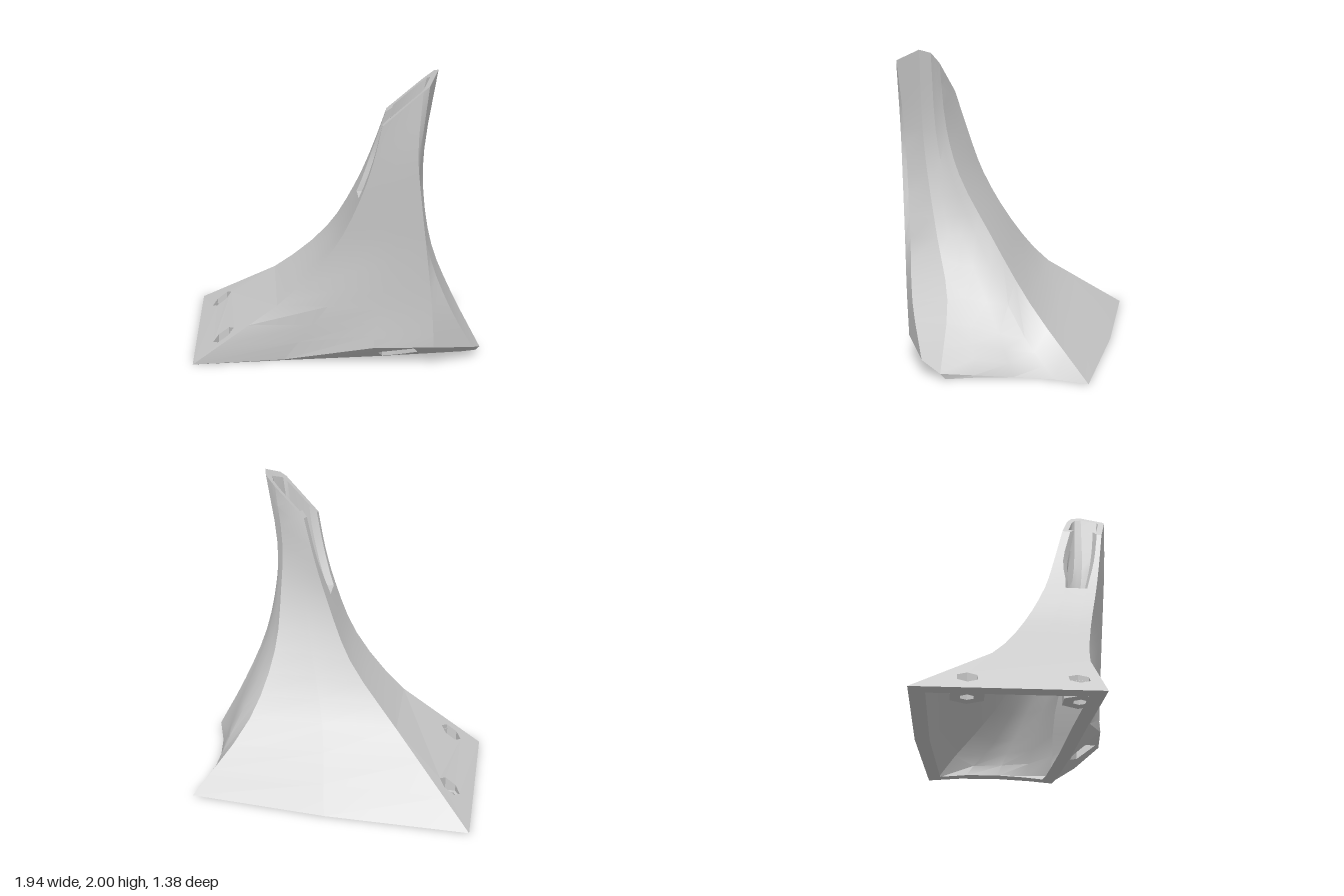
import * as THREE from 'three';
import { toCreasedNormals } from 'three/addons/utils/BufferGeometryUtils.js';

const V = (p) => new THREE.Vector3(...p);
const material = new THREE.MeshStandardMaterial({ color: 0xcccccc, side: THREE.DoubleSide });
const STEPS = 3, ROWS = 5, N = STEPS * ROWS;

// Rails running from the foot to the mouth of the horn
const frontLeft = [[-.97, 0, .45], [-.40, .41, .43], [-.04, .81, .49], [.13, 1.17, .56], [.21, 1.43, .60], [.26, 1.67, .63]].map(V);
const frontRight = [[.62, .17, .61], [.60, .45, .625], [.56, .8, .64], [.51, 1.2, .66], [.48, 1.5, .675], [.50, 1.9, .69]].map(V);
const rightCrease = [[.90, .10, .47], [.73, .42, .56], [.58, .8, .60], [.50, 1.2, .63], [.50, 1.5, .645], [.54, 1.93, .68]].map(V);
const rightToe = [[.97, .04, .34], [.76, .45, .33], [.61, .82, .42], [.54, 1.2, .49], [.535, 1.5, .52], [.61, 2, .52]].map(V);
const rightSide = [[.86, 0, -.10], [.79, .25, 0], [.57, .82, .27], [.52, 1.2, .39], [.52, 1.5, .44], [.59, 1.98, .45]].map(V);
const backRight = [[.93, 0, -.57], [.61, .41, -.17], [.48, .82, .10], [.47, 1.2, .30], [.47, 1.5, .38], [.52, 1.915, .41]].map(V);
const backLeft = [[-.97, 0, -.69], [-.42, .44, -.19], [-.06, .82, .04], [.12, 1.17, .20], [.22, 1.43, .275], [.31, 1.72, .35]].map(V);

// A rail between two others, optionally with its own lowest points
function between(a, b, share, low = []) {
  return a.map((p, i) => (low[i] ? V(low[i]) : p.clone().lerp(b[i], share(i))));
}

const rails = [
  frontLeft,
  between(frontLeft, frontRight, () => 0.33, [[-.36, .01, .42]]),
  between(frontLeft, frontRight, () => 0.67, [[.23, .155, .57]]),
  frontRight, rightCrease, rightToe,
  between(rightToe, rightSide, () => 0.5, [[.90, .015, .14], [.79, .29, .17]]),
  rightSide,
  between(rightSide, backRight, () => 0.5, [[.87, 0, -.35], [.77, .23, -.16]]),
  backRight,
  between(backRight, backLeft, () => 0.5, [[0, 0, -.66]]),
  backLeft,
  between(backLeft, frontLeft, (i) => (i < 4 ? 0.4 : 0.2)),
  between(backLeft, frontLeft, (i) => (i < 4 ? 0.82 : 0.88)),
];
const COLS = rails.length;
const CHIN = 2, BACK_LEFT = 11, SLOT = 12, SLOT_ROW = 3 * STEPS;
const isLeft = (i) => i === 0 || i >= BACK_LEFT;

// Shrink a ring towards its middle by a wall thickness
function inset(ring, d) {
  const box = new THREE.Box3().setFromPoints(ring);
  const c = box.getCenter(new THREE.Vector3()), w = box.getSize(new THREE.Vector3());
  return ring.map((p) => new THREE.Vector3(
    c.x + (p.x - c.x) * (1 - 2 * d / w.x), p.y, c.z + (p.z - c.z) * (1 - 2 * d / w.z)));
}

function buildRings() {
  const curves = rails.map((r) => new THREE.CatmullRomCurve3(r));
  const outer = [], inner = [];
  for (let k = 0; k <= N; k++) {
    outer.push(rails.map((r, i) => (isLeft(i) && k < STEPS
      ? r[0].clone().lerp(r[1], k / STEPS) : curves[i].getPoint(k / N))));
    inner.push(inset(outer[k], k === 0 ? 0.08 : 0.05));
  }
  // Lift the inside of the chin and keep the slanted mouth flat
  inner[0].forEach((p) => { if (p.y > 0.05) p.y += 0.04; });
  inner[N].forEach((p) => { p.y = 1.67 + 0.943 * (p.x - 0.26); });
  // Ground outline, set back under the chin
  const foot = outer[0].map((p) => new THREE.Vector3(p.x, 0, p.z));
  [[1, -.36, .41], [2, .23, .38], [3, .62, .35], [4, .85, .33], [5, .95, .31]]
    .forEach(([i, x, z]) => foot[i].set(x, 0, z));
  return { outer, inner, foot, footInner: inset(foot, 0.1) };
}

// Collects quads as loose triangles, dropping collapsed ones
function quadBuilder() {
  const pos = [];
  const tri = (a, b, c) => {
    const area = b.clone().sub(a).cross(c.clone().sub(a)).length();
    if (area > 1e-7) [a, b, c].forEach((p) => pos.push(p.x, p.y, p.z));
  };
  return {
    quad(a, b, c, d) { tri(a, b, c); tri(a, c, d); },
    geometry() {
      const g = new THREE.BufferGeometry();
      g.setAttribute('position', new THREE.Float32BufferAttribute(pos, 3));
      return toCreasedNormals(g, 0.4);
    },
  };
}

function shellGeometry({ outer, inner, foot, footInner }) {
  const q = quadBuilder();
  const loop = [foot, ...outer, ...[...inner].reverse(), footInner];
  const skip = (j, i) => {
    if (i === CHIN && (j === 0 || j === 2 * N + 2)) return true; // chin panel
    const k = j <= N ? j - 1 : 2 * N + 1 - j;
    const wall = j >= 1 && j <= 2 * N + 1 && j !== N + 1;
    if (wall && i >= BACK_LEFT && k < STEPS) return true; // bolted left panel
    return i === SLOT && (j === N + 1 || (wall && k >= SLOT_ROW)); // slot
  };
  loop.forEach((ring, j) => {
    const next = loop[(j + 1) % loop.length];
    for (let i = 0; i < COLS; i++) {
      const n = (i + 1) % COLS;
      if (!skip(j, i)) q.quad(ring[i], ring[n], next[n], next[i]);
    }
  });
  // Slot edges
  const a = SLOT, b = SLOT + 1, s = SLOT_ROW;
  for (let k = s; k < N; k++) {
    q.quad(outer[k][a], inner[k][a], inner[k + 1][a], outer[k + 1][a]);
    q.quad(inner[k][b], outer[k][b], outer[k + 1][b], inner[k + 1][b]);
  }
  q.quad(outer[s][a], outer[s][b], inner[s][b], inner[s][a]);
  return q.geometry();
}

// Plate with upright holes, stretched between rails i and n of two rings
function panelGeometry(holes, low, high, i, n, rise) {
  const points = (list) => list.map((p) => new THREE.Vector2(...p));
  const shape = new THREE.Shape(points([[0, 0], [1, 0], [1, 1], [0, 1]]));
  holes.forEach((h) => shape.holes.push(new THREE.Path(points(h))));
  const g = new THREE.ExtrudeGeometry(shape, { depth: 1, bevelEnabled: false });
  const pos = g.attributes.position;
  for (let v = 0; v < pos.count; v++) {
    const s = pos.getX(v), t = pos.getY(v);
    const p = low[i].clone().lerp(low[n], s).lerp(high[i].clone().lerp(high[n], s), t);
    pos.setXYZ(v, p.x, Math.max(0, p.y + rise * pos.getZ(v)), p.z);
  }
  g.computeVertexNormals();
  return g;
}

const hexagon = (cx, cy, r) => Array.from({ length: 6 }, (_, i) => {
  const a = i * Math.PI / 3;
  return [cx + r * Math.cos(a), cy + r * Math.sin(a)];
});

// Bolt hole seen from above, in the left panel's own coordinates
const boltHole = (x, z) => hexagon(x, z, 0.07).map(([px, pz]) => {
  const t = (px + 0.97) / 0.56, back = -0.69 + 0.5 * t, front = 0.45 - 0.02 * t;
  return [(pz - back) / (front - back), t];
});

// Upright hexagonal ring; without a set height its top follows the left panel
function bossRing(x, z, outerR, innerR, top) {
  const ring = (r) => hexagon(0, 0, r).map((p) => new THREE.Vector2(...p));
  const shape = new THREE.Shape(ring(outerR));
  shape.holes.push(new THREE.Path(ring(innerR)));
  const g = new THREE.ExtrudeGeometry(shape, { depth: 1, bevelEnabled: false });
  g.rotateX(-Math.PI / 2).translate(x, 0, z);
  const pos = g.attributes.position;
  for (let i = 0; i < pos.count; i++) {
    if (pos.getY(i) > 0.5) pos.setY(i, top ?? Math.max(0.005, (pos.getX(i) + 0.95) * 0.66));
  }
  g.computeVertexNormals();
  return g;
}

export function createModel() {
  const model = new THREE.Group();
  const add = (name, geometry) => {
    const mesh = new THREE.Mesh(geometry, material);
    mesh.name = name;
    model.add(mesh);
  };
  const rings = buildRings();
  const { outer, foot } = rings;
  add('hornShell', shellGeometry(rings));

  // Chin with its upright cable hole
  add('chinPanel', panelGeometry(
    [[[.1, .42], [.18, .06], [.42, .06], [.78, .36], [.68, .88], [.14, .52]]],
    foot, outer[0], CHIN, CHIN + 1, 0.06));

  // Sloping left panel with two bolt holes
  const bolts = [[-.81, -.35], [-.77, .31]];
  add('leftPanel', panelGeometry(bolts.map(([x, z]) => boltHole(x, z)),
    outer[0], outer[STEPS], BACK_LEFT, 0, -0.07));
  bolts.forEach(([x, z]) => {
    add('boltBoss', bossRing(x, z, 0.115, 0.07));
    add('boltSeat', bossRing(x, z, 0.07, 0.045, 0.05));
  });
  return model;
}
